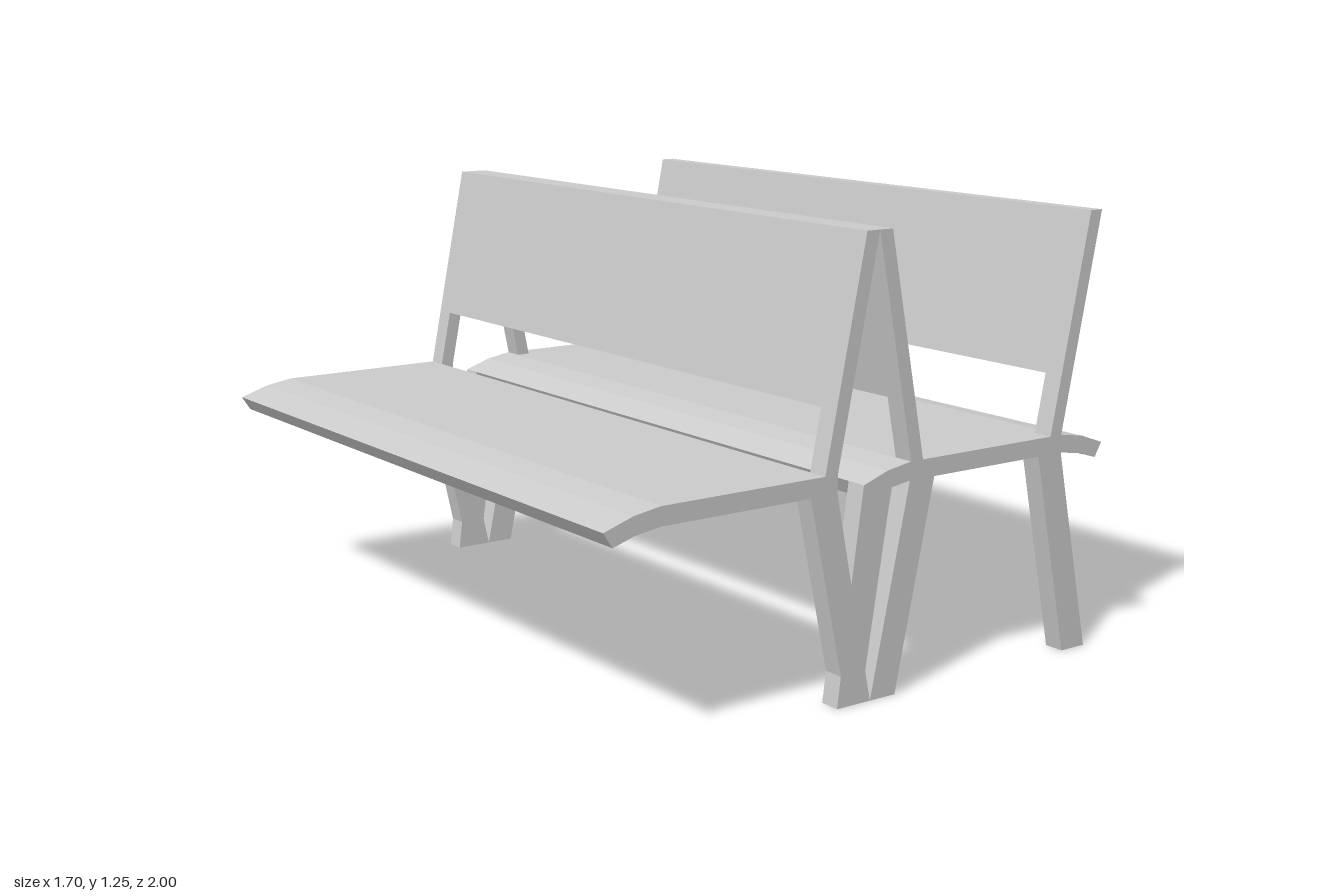
import * as THREE from 'three';

const HALF = 1;        // half length of the benches
const FRAME = 0.06;    // thickness of the end frames
const SEAT_TOP = 0.633, SEAT_LOW = 0.582, TOP = 1.252, BACK_LOW = 0.8;

export function createModel() {
  const model = new THREE.Group();
  const material = new THREE.MeshStandardMaterial({ color: 0xcccccc });

  // Extrudes an x-y outline from z0 to z1
  function slab(name, points, z0 = -HALF, z1 = HALF) {
    const shape = new THREE.Shape(points.map(([x, y]) => new THREE.Vector2(x, y)));
    const geometry = new THREE.ExtrudeGeometry(shape, { depth: z1 - z0, bevelEnabled: false });
    geometry.translate(0, 0, z0);
    const mesh = new THREE.Mesh(geometry, material);
    mesh.name = name;
    model.add(mesh);
  }

  // The same outline at both ends of the bench
  function endPair(name, points) {
    slab(name + 'Front', points, HALF - FRAME, HALF);
    slab(name + 'Rear', points, -HALF, -HALF + FRAME);
  }

  // Seats, with drooping edges
  slab('leftSeat', [
    [-0.168, SEAT_TOP], [-0.683, SEAT_TOP], [-0.765, 0.62], [-0.852, 0.592],
    [-0.825, 0.551], [-0.76, 0.571], [-0.683, SEAT_LOW], [-0.168, SEAT_LOW],
  ]);
  slab('rightSeat', [
    [0.123, SEAT_TOP], [0.045, 0.62], [-0.037, 0.592], [-0.016, 0.551],
    [0.059, 0.573], [0.123, SEAT_LOW], [0.688, SEAT_LOW], [0.765, 0.571],
    [0.826, 0.551], [0.85, 0.592], [0.77, 0.62], [0.688, SEAT_TOP],
  ]);

  // Leaning backrests: x of the inner and outer edge at seat height and at the top
  const backs = [
    ['left', -0.168, -0.126, -0.043, 0],
    ['middle', 0.126, 0.168, 0, 0.043],
    ['right', 0.645, 0.687, 0.77, 0.812],
  ];
  for (const [side, a0, b0, a1, b1] of backs) {
    const t = (BACK_LOW - SEAT_TOP) / (TOP - SEAT_TOP);
    const am = a0 + (a1 - a0) * t, bm = b0 + (b1 - b0) * t;
    slab(side + 'Backrest', [[am, BACK_LOW], [bm, BACK_LOW], [b1, TOP], [a1, TOP]]);
    endPair(side + 'BackPost', [[a0, SEAT_TOP], [b0, SEAT_TOP], [bm, BACK_LOW], [am, BACK_LOW]]);
  }

  // Forked leg joining the two benches
  endPair('forkedLeg', [
    [-0.114, 0], [0, 0], [-0.019, 0.087], [0.059, 0.573], [-0.016, 0.551],
    [-0.037, 0.592], [-0.073, 0.33], [-0.126, SEAT_LOW], [-0.126, SEAT_TOP],
    [-0.168, SEAT_TOP], [-0.168, SEAT_LOW], [-0.214, SEAT_LOW], [-0.103, 0.087],
  ]);

  // Slanted legs of the wide bench
  endPair('middleLeg', [[0, 0], [0.087, 0], [0.21, SEAT_LOW], [0.123, SEAT_LOW]]);
  endPair('rightLeg', [[0.724, 0], [0.812, 0], [0.688, SEAT_LOW], [0.6, SEAT_LOW]]);

  return model;
}
